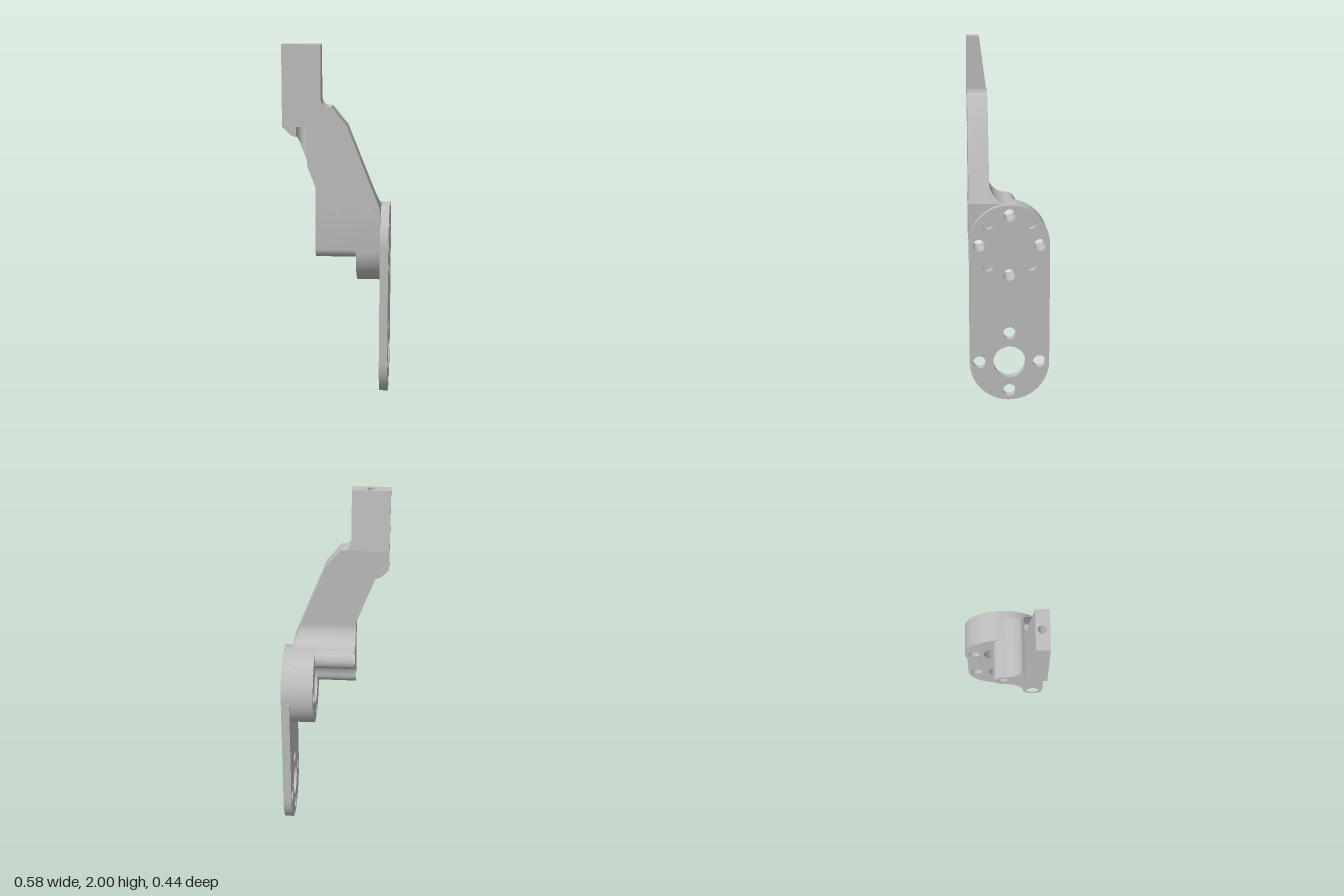
import * as THREE from 'three';
import { toCreasedNormals } from 'three/addons/utils/BufferGeometryUtils.js';

const R = 0.222, HUB_Y = 0.89, BORE = 0.111, BOLT = 0.1665, HOLE = 0.033;
const BACK = 0.107, FRONT = 0.22;

export function createModel() {
  const group = new THREE.Group();
  const metal = new THREE.MeshStandardMaterial({ color: 0xbfbfbf });
  metal.name = 'machined grey';

  // Extrude a shape from a to b along an axis, optionally moving vertices by a rule.
  // Shape axes: x -> (-z, y), y -> (x, -z), z -> (x, y)
  const add = (name, shape, axis, a, b, rule) => {
    let geo = new THREE.ExtrudeGeometry(shape, { depth: b - a, bevelEnabled: false, curveSegments: 24 });
    geo.translate(0, 0, a);
    if (axis === 'x') geo.rotateY(Math.PI / 2);
    if (axis === 'y') geo.rotateX(-Math.PI / 2);
    if (rule) {
      const p = geo.attributes.position, v = new THREE.Vector3();
      for (let i = 0; i < p.count; i++) {
        rule(v.fromBufferAttribute(p, i));
        p.setXYZ(i, v.x, v.y, v.z);
      }
    }
    geo = toCreasedNormals(geo, 0.5);
    const mesh = new THREE.Mesh(geo, metal);
    mesh.name = name;
    group.add(mesh);
  };
  const poly = (pts) => new THREE.Shape(pts.map(([x, y]) => new THREE.Vector2(x, y)));
  const hole = (shape, x, y, r) => shape.holes.push(new THREE.Path().absarc(x, y, r, 0, Math.PI * 2, true));
  const boltCircle = (shape, y, r, start = 0) => {
    for (let i = 0; i < 4; i++) {
      const t = start + i * Math.PI / 2;
      hole(shape, BOLT * Math.cos(t), y + BOLT * Math.sin(t), r);
    }
  };

  // Long side plate with rounded ends
  const plate = new THREE.Shape();
  plate.absarc(0, HUB_Y, R, 0, Math.PI, false);
  plate.absarc(0, R, R, Math.PI, Math.PI * 2, false);
  plate.closePath();
  boltCircle(plate, R, 0.035);
  hole(plate, 0, R, 0.09);
  boltCircle(plate, HUB_Y, HOLE);
  boltCircle(plate, HUB_Y, 0.028, Math.PI / 4);
  add('sidePlate', plate, 'x', 0.243, 0.29);

  // Hub ring behind the plate
  const ring = new THREE.Shape().absarc(0, HUB_Y, R, 0, Math.PI * 2, false);
  hole(ring, 0, HUB_Y, BORE);
  boltCircle(ring, HUB_Y, HOLE);
  add('hubRing', ring, 'x', 0.111, 0.243);

  // Quarter saddle ending in two rounded bolt bosses
  const top = HUB_Y + R, br = (R - BORE) / 2;
  const saddle = new THREE.Shape();
  saddle.moveTo(-R, HUB_Y);
  saddle.lineTo(-R, top);
  saddle.lineTo(0, top);
  saddle.absarc(0, HUB_Y + BOLT, br, Math.PI / 2, -Math.PI / 2, true);
  saddle.absarc(0, HUB_Y, BORE, Math.PI / 2, Math.PI, false);
  saddle.absarc(-BOLT, HUB_Y, br, 0, -Math.PI, true);
  hole(saddle, 0, HUB_Y + BOLT, HOLE);
  hole(saddle, -BOLT, HUB_Y, HOLE);
  add('boltSaddle', saddle, 'x', -0.111, 0.243);

  // Concave fillet from saddle to arm, trimmed by the sloping arm edge
  const slopeX = (y) => 0.243 - (y - top) * 0.4;
  const filletTop = top + BACK;
  const fillet = new THREE.Shape();
  fillet.moveTo(-FRONT, top);
  fillet.lineTo(-FRONT, filletTop);
  fillet.lineTo(-BACK, filletTop);
  fillet.absarc(0, filletTop, BACK, Math.PI, Math.PI * 1.5, false);
  add('armFillet', fillet, 'x', -0.111, 0.243, (v) => { if (v.x > 0) v.x = slopeX(v.y); });

  // Sloping arm
  const neckY = 1.67, slotY = 1.56, x0 = -0.215, x1 = -0.155;
  const underside = (x) => 1.505 - (x - x0) * 2.62;
  const arm = new THREE.Shape();
  arm.moveTo(x1, neckY);
  arm.lineTo(x1, underside(x1));
  arm.lineTo(-0.111, 1.232);
  arm.lineTo(-0.111, filletTop);
  arm.lineTo(slopeX(filletTop), filletTop);
  arm.lineTo(0.062, 1.565);
  arm.lineTo(-0.023, neckY);
  arm.lineTo(-0.04, neckY);
  arm.absarc(-0.04, neckY + 0.04, 0.04, -Math.PI / 2, -Math.PI, true);
  arm.lineTo(-0.08, neckY);
  add('slopingArm', arm, 'z', BACK, FRONT);

  // Outer corner under the head
  add('headCorner', poly([[-0.29, neckY], [-0.29, 1.56], [-0.245, 1.516], [x0, 1.505], [x0, neckY]]),
    'z', BACK, FRONT);

  // Drilled column, then the screw slot that opens to the front
  const hx = -0.185, hz = 0.183;
  const column = poly([[x0, -FRONT], [x1, -FRONT], [x1, -BACK], [x0, -BACK]]);
  hole(column, hx, -hz, 0.022);
  add('drilledColumn', column, 'y', slotY, neckY);

  const slot = new THREE.Shape();
  slot.moveTo(x0, -BACK);
  slot.lineTo(x0, -hz);
  slot.absarc(hx, -hz, 0.03, Math.PI, 0, true);
  slot.lineTo(x1, -BACK);
  add('screwSlot', slot, 'y', 1.3, slotY, (v) => { if (v.y < 1.4) v.y = underside(v.x); });

  // Tapered head with a vertical hole
  const head = poly([[-0.29, -FRONT], [-0.08, -FRONT], [-0.08, -BACK], [-0.29, -BACK]]);
  hole(head, hx, -hz, 0.022);
  add('taperedHead', head, 'y', neckY, 2, (v) => {
    if (v.y > 1.9 && v.z < BACK + 0.01) v.z = 0.15;
  });

  return group;
}
